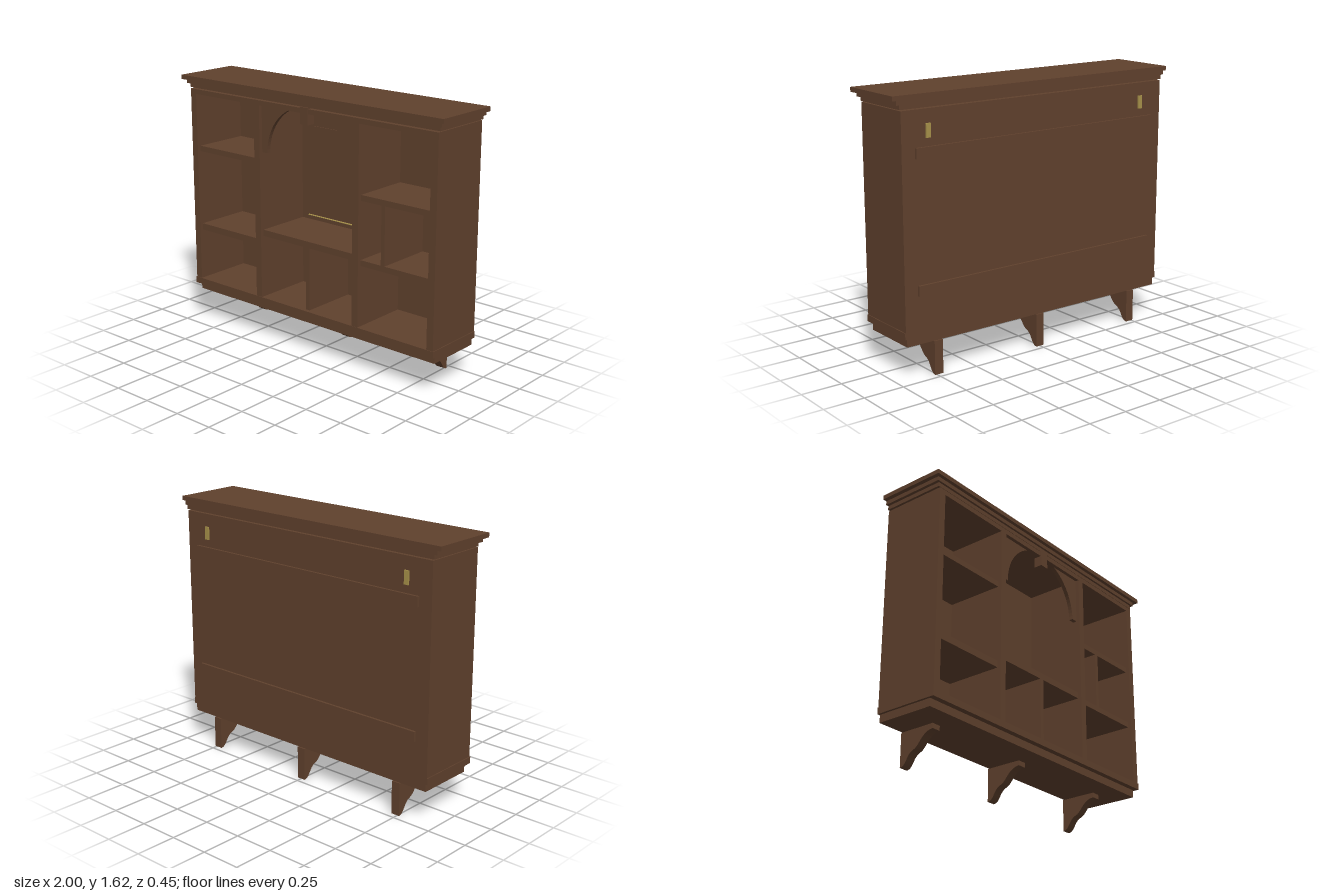
import * as THREE from 'three';

export function createModel() {
  const group = new THREE.Group();
  const wood = new THREE.MeshStandardMaterial({ color: 0x60412d });
  wood.name = 'walnut brown';
  const brass = new THREE.MeshStandardMaterial({ color: 0xa8924a });
  brass.name = 'aged brass';

  const add = (name, geometry, material = wood) => {
    const mesh = new THREE.Mesh(geometry, material);
    mesh.name = name;
    group.add(mesh);
    return mesh;
  };
  // Box given by its limits on each axis
  const box = (name, x0, x1, y0, y1, z0, z1, material) => {
    const mesh = add(name, new THREE.BoxGeometry(x1 - x0, y1 - y0, z1 - z0), material);
    mesh.position.set((x0 + x1) / 2, (y0 + y1) / 2, (z0 + z1) / 2);
    return mesh;
  };

  const back = -0.21, inner = -0.19, front = 0.195, inset = 0.172;

  // Stepped cornice, with a narrow shadow gap above the case
  box('corniceTop', -1, 1, 1.597, 1.624, back, 0.225);
  box('corniceMiddle', -0.975, 0.975, 1.572, 1.597, back, 0.203);
  box('corniceLower', -0.957, 0.957, 1.547, 1.572, back, 0.19);

  // Case
  box('backPanel', -0.905, 0.905, 0.295, 1.51, back, inner);
  box('topPanel', -0.905, 0.905, 1.51, 1.54, back, front);
  box('bottomMoulding', -0.955, 0.955, 0.255, 0.295, back, 0.198);
  box('plinth', -0.94, 0.94, 0.208, 0.255, -0.205, 0.163);
  for (const s of [-1, 1]) {
    const side = box('sidePanel', -0.0225, 0.0225, 0.295, 1.54, back, front);
    side.position.x = s * 0.9275;
    const upright = box('upright', -0.0225, 0.0225, 0.295, 1.51, inner, front);
    upright.position.x = s * 0.385;
  }

  // Shelves and small dividers: x0, x1, y0, y1
  const boards = [
    ['leftShelf', -0.905, -0.4075, 1.14, 1.175],
    ['leftShelf', -0.905, -0.4075, 0.62, 0.662],
    ['centreShelf', -0.3625, 0.3625, 0.69, 0.73],
    ['rightShelf', 0.4075, 0.905, 1.06, 1.095],
    ['rightShelf', 0.4075, 0.905, 0.67, 0.705],
    ['lowerDivider', -0.0135, 0.0135, 0.295, 0.69],
    ['rightDivider', 0.556, 0.582, 0.705, 1.06],
  ];
  for (const [name, x0, x1, y0, y1] of boards) box(name, x0, x1, y0, y1, inner, inset);

  // Arched fascia: a semicircle cut off by the top panel
  const r = 0.32, spring = 1.22, top = 1.51;
  const a = Math.asin((top - spring) / r);
  for (const s of [-1, 1]) {
    const spandrel = new THREE.Shape();
    spandrel.moveTo(s * 0.3625, spring);
    spandrel.lineTo(s * r, spring);
    for (let i = 1; i <= 16; i++) {
      const t = (a * i) / 16;
      spandrel.lineTo(s * r * Math.cos(t), spring + r * Math.sin(t));
    }
    spandrel.lineTo(s * 0.3625, top);
    const geometry = new THREE.ExtrudeGeometry(spandrel, { depth: 0.025, bevelEnabled: false });
    add('archSpandrel', geometry).position.z = inset - 0.025;
  }
  box('keystone', -0.03, 0.03, 1.445, 1.547, 0.145, 0.199);

  // Niche panel and plate rail
  box('nichePanel', -0.26, 0.26, 0.79, 1.335, inner, inner + 0.006);
  box('plateRail', -0.295, 0.295, 0.742, 0.764, inner, -0.165);
  box('plateRailTrim', -0.295, 0.295, 0.764, 0.767, -0.178, -0.165, brass);

  // Wall battens and hanging plates on the back
  for (const y of [0.495, 1.272]) box('wallBatten', -0.865, 0.865, y, y + 0.06, -0.225, back);
  for (const x of [-0.78, 0.78]) box('hangingPlate', x - 0.015, x + 0.015, 1.38, 1.46, -0.219, back, brass);

  // Scrolled brackets; the profile is drawn in z and y
  const profile = new THREE.Shape();
  profile.moveTo(back - 0.004, 0.208);
  profile.lineTo(back - 0.004, 0.004);
  profile.lineTo(-0.198, 0.008);
  profile.bezierCurveTo(-0.165, 0.02, -0.165, 0.075, -0.115, 0.088);
  profile.bezierCurveTo(-0.075, 0.1, -0.06, 0.175, 0.02, 0.178);
  profile.lineTo(0.02, 0.208);
  const bracket = new THREE.ExtrudeGeometry(profile, { depth: 0.056, bevelEnabled: false, curveSegments: 10 });
  bracket.translate(0, 0, -0.028);
  bracket.rotateY(-Math.PI / 2);
  for (const x of [-0.735, 0, 0.735]) add('bracket', bracket).position.x = x;

  return group;
}
